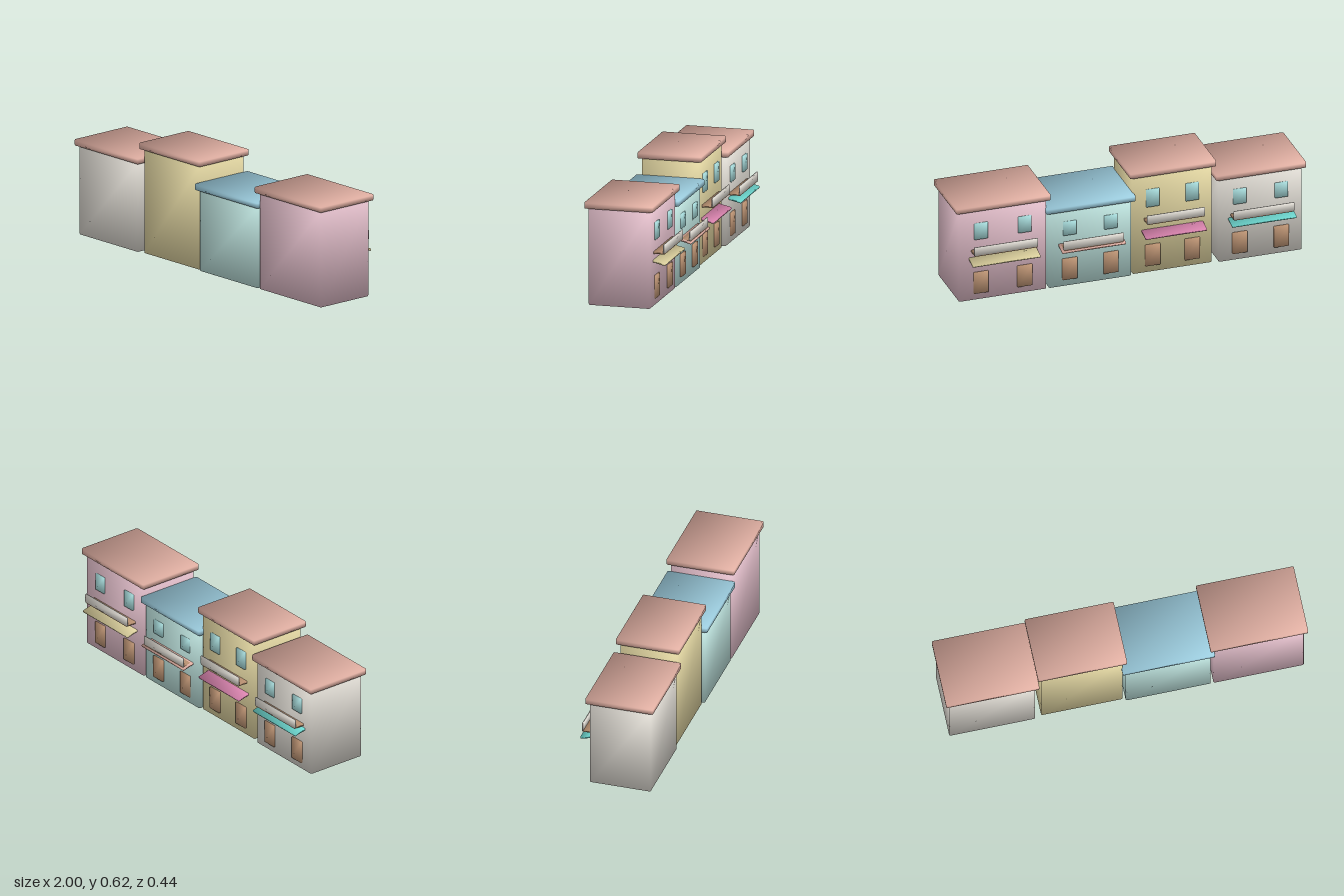
import * as THREE from 'three';

const mat = (name, color) => {
  const m = new THREE.MeshStandardMaterial({ color });
  m.name = name;
  return m;
};

// Box with rounded edges and softly blended corner normals
function softBox(w, h, d, bevel) {
  const geo = new THREE.BoxGeometry(2, 2, 2, 3, 3, 3);
  const pos = geo.attributes.position;
  const nor = geo.attributes.normal;
  const inner = new THREE.Vector3(w / 2 - bevel, h / 2 - bevel, d / 2 - bevel);
  const p = new THREE.Vector3();
  for (let i = 0; i < pos.count; i++) {
    p.fromBufferAttribute(pos, i);
    const sign = new THREE.Vector3(Math.sign(p.x), Math.sign(p.y), Math.sign(p.z));
    // outermost coordinates push away from the inner core, the others stay on it
    const push = new THREE.Vector3(
      Math.abs(p.x) > 0.9 ? sign.x : 0,
      Math.abs(p.y) > 0.9 ? sign.y : 0,
      Math.abs(p.z) > 0.9 ? sign.z : 0
    ).setLength(bevel);
    p.copy(sign).multiply(inner).add(push);
    pos.setXYZ(i, p.x, p.y, p.z);
    sign.normalize();
    nor.setXYZ(i, sign.x, sign.y, sign.z);
  }
  return geo;
}

export function createModel() {
  const white = mat('plaster white', 0xe0dcd4);
  const yellow = mat('pale yellow', 0xe2d6a2);
  const mint = mat('mint', 0xbde2dd);
  const pink = mat('pale pink', 0xe3bfcb);
  const salmon = mat('salmon', 0xe5b3a6);
  const blue = mat('sky blue', 0x9fd0e2);
  const brown = mat('wood brown', 0xbd9474);
  const glass = mat('window glass', 0xa8dcdc);
  const turquoise = mat('turquoise', 0x70dcd4);
  const rose = mat('rose', 0xe088b4);

  const houses = [
    { name: 'whiteHouse', x: -0.743, w: 0.475, h: 0.5, d: 0.347, wall: white, roof: salmon, awning: turquoise },
    { name: 'yellowHouse', x: -0.244, w: 0.452, h: 0.585, d: 0.322, wall: yellow, roof: salmon, awning: rose },
    { name: 'mintHouse', x: 0.23, w: 0.47, h: 0.455, d: 0.347, wall: mint, roof: blue, awning: salmon },
    { name: 'pinkHouse', x: 0.73, w: 0.5, h: 0.54, d: 0.347, wall: pink, roof: salmon, awning: yellow },
  ];

  const row = new THREE.Group();
  row.name = 'terraceOfHouses';

  for (const { name, x, w, h, d, wall, roof, awning } of houses) {
    const house = new THREE.Group();
    house.name = name;
    house.position.set(x, 0, 0.026);
    row.add(house);

    const add = (part, material, size, at, bevel) => {
      const mesh = new THREE.Mesh(softBox(...size, bevel), material);
      mesh.name = part;
      mesh.position.set(...at);
      house.add(mesh);
      return mesh;
    };

    // Street facade looks towards -z
    const face = -d / 2;

    // Walls and overhanging flat roof
    add('walls', wall, [w, h, d], [0, h / 2, 0], 0.007);
    add('roof', roof, [w + 0.04, 0.038, d + 0.038], [0, h + 0.018, 0], 0.007);

    // Doors and upper windows in mirrored pairs
    for (const side of [-1, 1]) {
      const px = side * w * 0.25;
      add('door', brown, [0.085, 0.128, 0.018], [px, 0.104, face], 0.003);
      add('window', glass, [0.076, h * 0.18, 0.018], [px, h * 0.767, face], 0.003);
    }

    // Balcony slab with solid railing
    const floorY = h * 0.553;
    add('balconyFloor', brown, [w * 0.72, 0.014, 0.07], [0, floorY, face - 0.027], 0.003);
    add('balconyRailing', white, [w * 0.73, 0.05, 0.01], [0, floorY + 0.023, face - 0.058], 0.003);

    // Sloping awning over the doors
    const shade = add('awning', awning, [w * 0.775, 0.013, 0.074], [0, 0.246, face - 0.033], 0.003);
    shade.rotation.x = -0.25;
  }
  return row;
}
